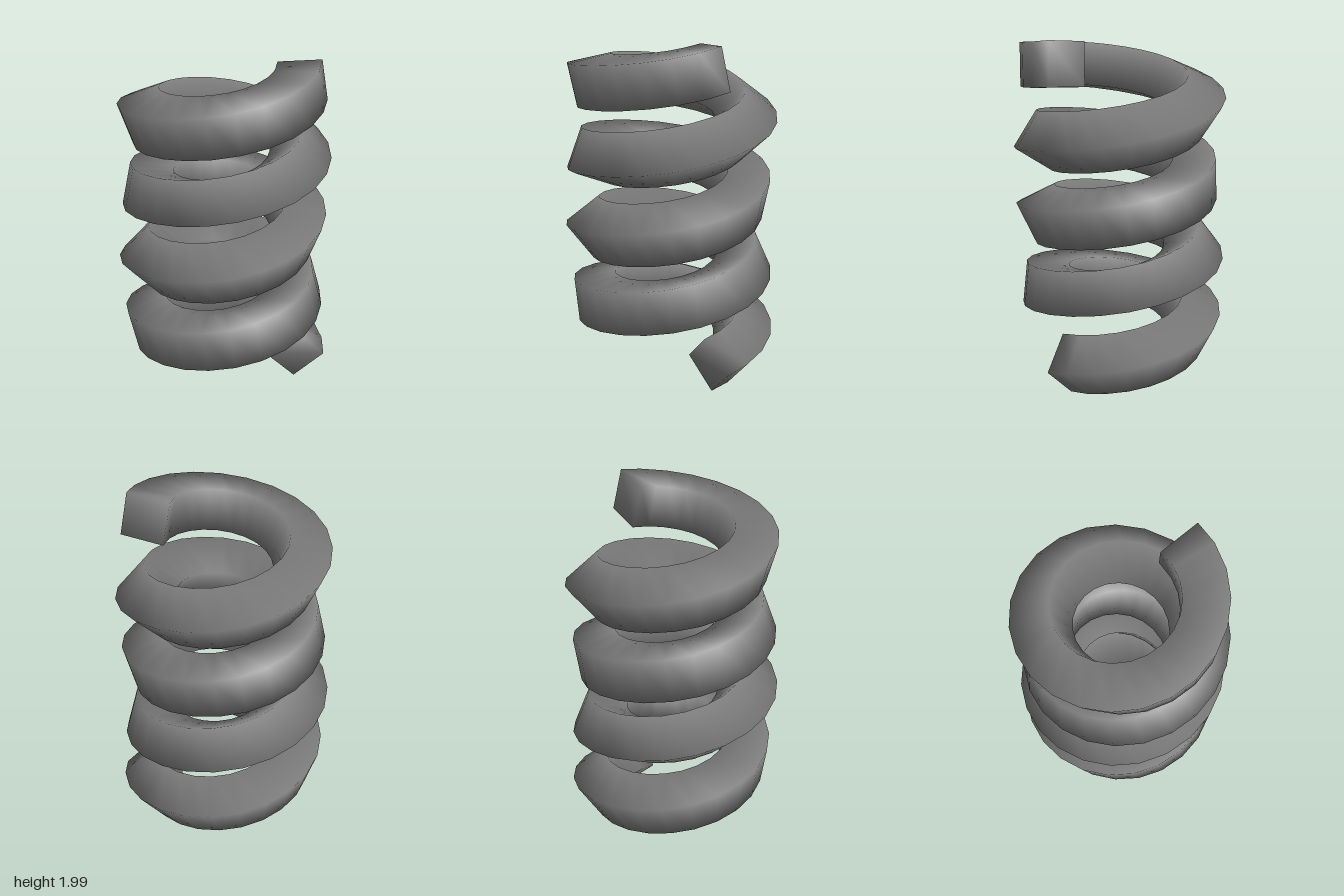
import * as THREE from 'three';

const STEPS = 92;                                   // rings along the coil
const STEP_ANGLE = THREE.MathUtils.degToRad(15.69); // turn between rings
const COIL_RADIUS = 0.42;
const BAR_RADIUS = 0.17;                            // centre to corner of the square bar
const Y_START = 0.178, Y_END = 1.868;
const TWIST = 0.161;                                // roll of the bar per radian of turn

// Centre line, rising counter-clockwise from +x towards the back
function centre(i) {
  const a = i * STEP_ANGLE;
  const y = THREE.MathUtils.lerp(Y_START, Y_END, i / STEPS);
  return new THREE.Vector3(COIL_RADIUS * Math.cos(a), y, -COIL_RADIUS * Math.sin(a));
}

function coilGeometry() {
  const up = new THREE.Vector3(0, 1, 0);
  const positions = [], index = [];
  for (let i = 0; i <= STEPS; i++) {
    const c = centre(i);
    const tangent = centre(Math.min(i + 1, STEPS)).sub(centre(Math.max(i - 1, 0))).normalize();
    const out = tangent.clone().cross(up).normalize();
    const rise = out.clone().cross(tangent);
    // Four corners of the bar, rolling slowly along the path
    for (let k = 0; k < 4; k++) {
      const t = TWIST * i * STEP_ANGLE + k * Math.PI / 2;
      const p = c.clone()
        .addScaledVector(out, BAR_RADIUS * Math.cos(t))
        .addScaledVector(rise, BAR_RADIUS * Math.sin(t));
      positions.push(p.x, p.y, p.z);
      if (i < STEPS) {
        const a = i * 4 + k, b = i * 4 + (k + 1) % 4;
        index.push(a, a + 4, b, b, a + 4, b + 4);
      }
    }
  }
  // End caps share the ring corners so the shading runs over the ends
  const e = STEPS * 4;
  index.push(0, 1, 2, 0, 2, 3, e, e + 2, e + 1, e, e + 3, e + 2);

  const geometry = new THREE.BufferGeometry();
  geometry.setAttribute('position', new THREE.Float32BufferAttribute(positions, 3));
  geometry.setIndex(index);
  geometry.computeVertexNormals();
  return geometry;
}

export function createModel() {
  const grey = new THREE.MeshStandardMaterial({ color: 0x808080 });
  grey.name = 'grey';
  const coil = new THREE.Mesh(coilGeometry(), grey);
  coil.name = 'springCoil';
  const group = new THREE.Group();
  group.name = 'coilSpring';
  group.add(coil);
  return group;
}
